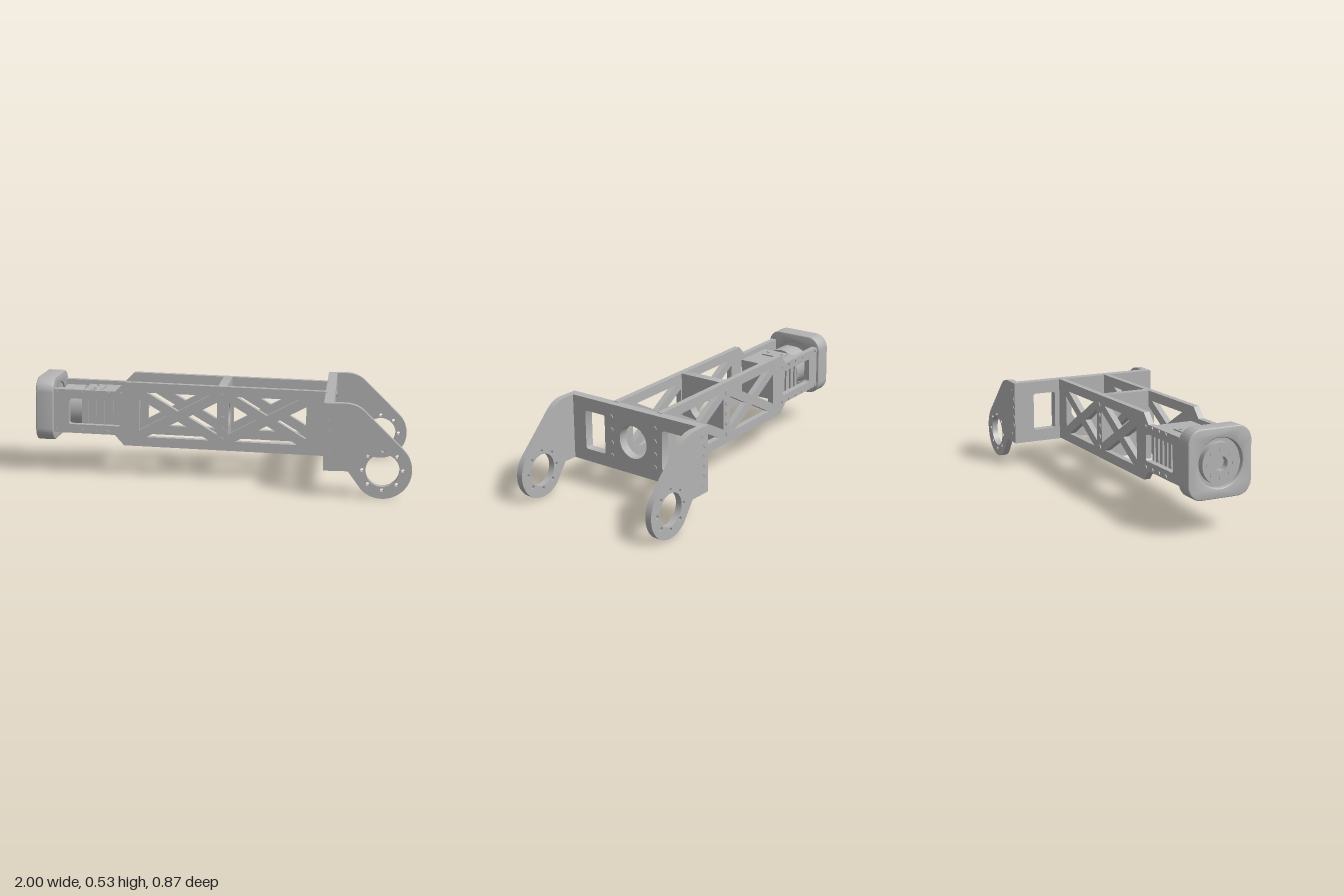
import * as THREE from 'three';
import { toCreasedNormals } from 'three/addons/utils/BufferGeometryUtils.js';

const metal = new THREE.MeshStandardMaterial({ color: 0xb3b3b3 });
metal.name = 'grey metal';

function add(parent, name, geometry, x = 0, y = 0, z = 0) {
  const mesh = new THREE.Mesh(geometry, metal);
  mesh.name = name;
  mesh.position.set(x, y, z);
  parent.add(mesh);
  return mesh;
}

const polygon = (pts) => new THREE.Shape(pts.map(([x, y]) => new THREE.Vector2(x, y)));

function circle(x, y, r) {
  return new THREE.Path().absarc(x, y, r, 0, Math.PI * 2, true);
}

function roundedRect(cx, cy, w, h, r) {
  const s = new THREE.Shape(), a = w / 2 - r, b = h / 2 - r;
  s.absarc(cx + a, cy + b, r, 0, Math.PI / 2);
  s.absarc(cx - a, cy + b, r, Math.PI / 2, Math.PI);
  s.absarc(cx - a, cy - b, r, Math.PI, Math.PI * 1.5);
  s.absarc(cx + a, cy - b, r, Math.PI * 1.5, Math.PI * 2);
  s.closePath();
  return s;
}

// Flat plate facing z, or facing x when alongX is set
function plate(shape, depth, alongX = false, bevel = 0) {
  const g = new THREE.ExtrudeGeometry(shape, {
    depth: depth - 2 * bevel, curveSegments: 20, bevelEnabled: bevel > 0,
    bevelSize: bevel, bevelThickness: bevel, bevelOffset: -bevel, bevelSegments: 3,
  });
  g.translate(0, 0, bevel - depth / 2);
  if (alongX) g.rotateY(Math.PI / 2);
  return toCreasedNormals(g, 0.5);
}

function disc(r, length, axis) {
  const g = new THREE.CylinderGeometry(r, r, length, r > 0.03 ? 40 : 14);
  return axis === 'x' ? g.rotateZ(Math.PI / 2) : g.rotateX(Math.PI / 2);
}

// Four triangular cut-outs that leave a cross brace
function braceHoles(x0, x1) {
  const c = (x0 + x1) / 2, h = 0.121;
  const holes = [];
  for (const s of [-1, 1]) {
    holes.push([[x0 + 0.04, s * h], [x1 - 0.04, s * h], [c, s * 0.027]]);
    const edge = s < 0 ? x0 : x1;
    holes.push([[edge, 0.086], [edge, -0.086], [c + s * 0.055, 0]]);
  }
  return holes.map(polygon);
}

function buildBeam() {
  const beam = new THREE.Group();
  beam.name = 'trussBeam';
  const side = polygon([
    [-0.9, -0.118], [-0.56, -0.118], [-0.51, -0.172], [0.56, -0.172],
    [0.56, 0.172], [-0.51, 0.172], [-0.56, 0.118], [-0.9, 0.118],
  ]);
  side.holes.push(...braceHoles(-0.43, -0.015), ...braceHoles(0.045, 0.455));
  side.holes.push(roundedRect(-0.67, 0, 0.28, 0.14, 0.012));
  const sideGeometry = plate(side, 0.032);
  const bolt = disc(0.011, 0.008, 'z');
  const postBolt = disc(0.015, 0.008, 'z');
  for (const s of [-1, 1]) {
    add(beam, 'sideTruss', sideGeometry, 0, 0, s * 0.141);
    for (const x of [-0.88, -0.74, -0.67, -0.6, -0.53])
      for (const y of [-0.104, 0.104]) add(beam, 'neckBolt', bolt, x, y, s * 0.158);
    for (let i = -2; i <= 2; i++) add(beam, 'postBolt', postBolt, 0.012, i * 0.058, s * 0.158);
  }
  // Middle diaphragm with a cable hole
  const wall = roundedRect(0, 0, 0.256, 0.344, 0.002);
  wall.holes.push(circle(0, 0, 0.073));
  add(beam, 'middleDiaphragm', plate(wall, 0.048, true), 0.01);
  return beam;
}

function buildMotor() {
  const motor = new THREE.Group();
  motor.name = 'motor';
  add(motor, 'motorHousing', new THREE.BoxGeometry(0.24, 0.2, 0.22), -0.63);
  add(motor, 'motorDrum', disc(0.113, 0.105, 'x'), -0.8025);
  add(motor, 'motorCollar', disc(0.095, 0.05, 'x'), -0.875);
  add(motor, 'motorTopCover', new THREE.BoxGeometry(0.08, 0.008, 0.13), -0.69, 0.103);
  for (const z of [-0.045, 0.045])
    add(motor, 'coverScrew', new THREE.CylinderGeometry(0.008, 0.008, 0.008, 12), -0.69, 0.109, z);
  for (const s of [-1, 1])
    for (let i = 0; i < 5; i++)
      add(motor, 'coolingRib', new THREE.BoxGeometry(0.012, 0.17, 0.012), -0.72 + i * 0.045, 0, s * 0.114);

  // Rounded end cap with a recessed output hub
  const cap = roundedRect(0, 0, 0.344, 0.344, 0.075);
  cap.holes.push(circle(0, 0, 0.122));
  add(motor, 'endCap', plate(cap, 0.096, true, 0.008), -0.94);
  add(motor, 'capFloor', disc(0.126, 0.06, 'x'), -0.93);
  const hub = new THREE.Shape().absarc(0, 0, 0.102, 0, Math.PI * 2);
  hub.holes.push(circle(0, 0, 0.035));
  add(motor, 'outputHub', plate(hub, 0.045, true), -0.9735);
  for (let i = 0; i < 8; i++) {
    const a = i * Math.PI / 4;
    add(motor, 'hubBolt', disc(0.012, 0.006, 'x'), -0.996, 0.07 * Math.sin(a), 0.07 * Math.cos(a));
  }
  return motor;
}

function buildClevis() {
  const clevis = new THREE.Group();
  clevis.name = 'clevis';
  // Cross plate with a central hole and two windows
  const cross = polygon([[-0.42, 0.138], [0.42, 0.138], [0.42, 0.485], [-0.42, 0.485]]);
  cross.holes.push(circle(0, 0.31, 0.087));
  for (const s of [-1, 1]) cross.holes.push(roundedRect(s * 0.25, 0.31, 0.13, 0.21, 0.012));
  add(clevis, 'crossPlate', plate(cross, 0.05, true), 0.58);

  // Lug with a bearing eye and a ring of bolt holes
  const cx = 0.853, cy = 0.147;
  const lug = new THREE.Shape();
  lug.moveTo(0.555, 0.138);
  lug.lineTo(0.68, 0.138);
  lug.absarc(cx, cy, 0.147, -Math.PI * 0.75, Math.PI * 0.25, false);
  lug.lineTo(0.768, 0.438);
  lug.quadraticCurveTo(0.722, 0.485, 0.66, 0.485);
  lug.lineTo(0.555, 0.485);
  lug.closePath();
  lug.holes.push(circle(cx, cy, 0.085));
  for (let i = 0; i < 8; i++) {
    const a = i * Math.PI / 4;
    lug.holes.push(circle(cx + 0.102 * Math.cos(a), cy + 0.102 * Math.sin(a), 0.01));
  }
  const lugGeometry = plate(lug, 0.034);
  for (const s of [-1, 1]) {
    add(clevis, 'lug', lugGeometry, 0, 0, s * 0.413);
    for (const y of [0.235, 0.285, 0.338, 0.388]) add(clevis, 'lugBolt', disc(0.014, 0.006, 'z'), 0.577, y, s * 0.43);
    for (const y of [0.185, 0.44]) add(clevis, 'lugPin', disc(0.007, 0.006, 'z'), 0.6, y, s * 0.43);
    for (const y of [0.207, 0.277, 0.346, 0.416]) add(clevis, 'crossPlateBolt', disc(0.013, 0.008, 'x'), 0.606, y, s * 0.14);
  }
  return clevis;
}

export function createModel() {
  const model = new THREE.Group();
  model.name = 'robotArmLink';
  // Beam and motor lean slightly down towards the clevis
  const arm = new THREE.Group();
  arm.name = 'arm';
  arm.add(buildBeam(), buildMotor());
  arm.position.y = 0.33;
  arm.rotation.z = -0.026;
  model.add(arm, buildClevis());
  return model;
}
